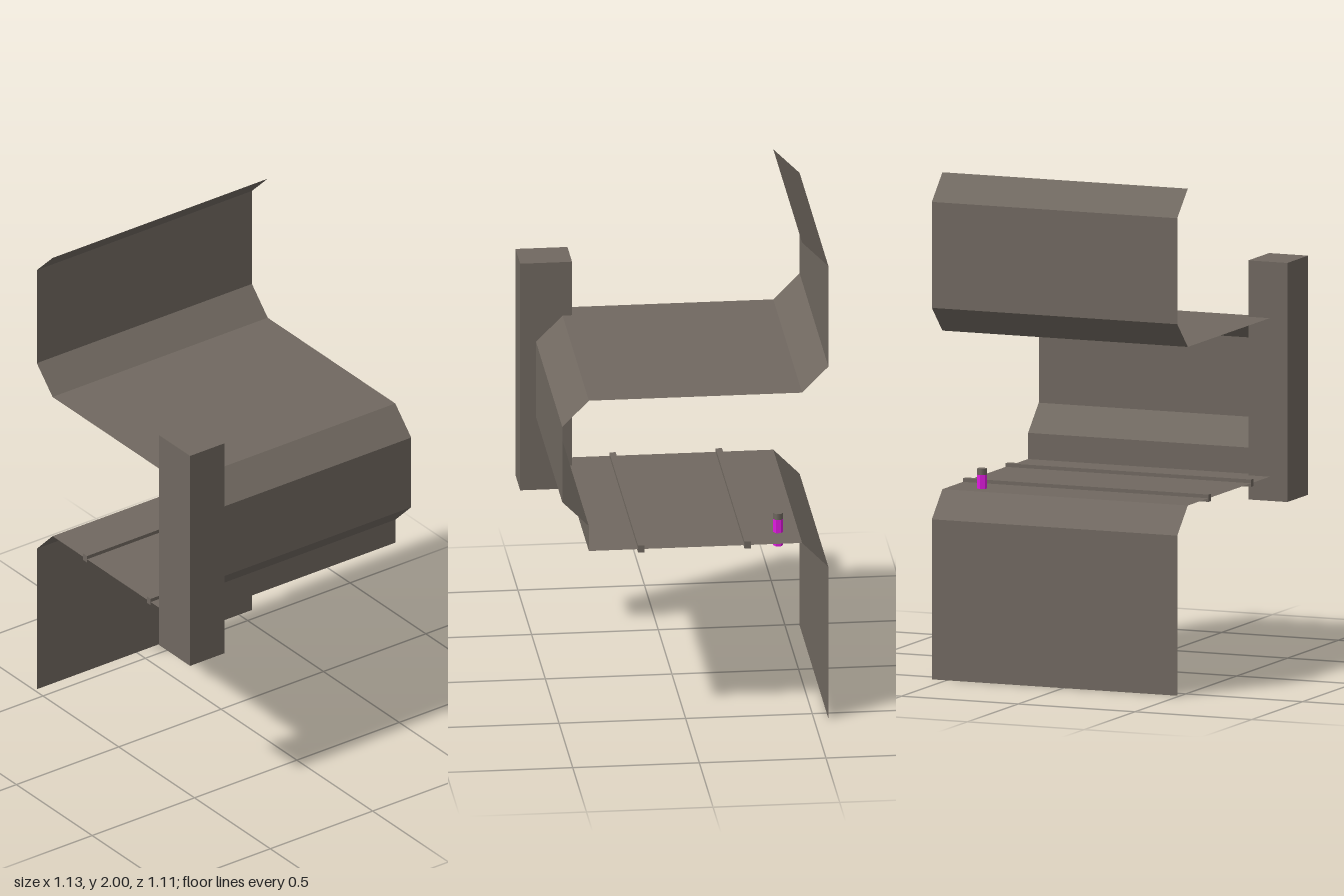
import * as THREE from 'three';

const LEFT = 0.563, RIGHT = -0.488;

export function createModel() {
  const model = new THREE.Group();
  const grey = new THREE.MeshStandardMaterial({ color: 0x706860, side: THREE.DoubleSide });
  grey.name = 'warm grey';
  const magenta = new THREE.MeshStandardMaterial({ color: 0xe01ae0, flatShading: true });
  magenta.name = 'magenta';

  const add = (name, geometry, material, x, y, z) => {
    const mesh = new THREE.Mesh(geometry, material);
    mesh.name = name;
    mesh.position.set(x, y, z);
    model.add(mesh);
  };

  // Folded sheet: a [z, y] profile swept straight across x, with hard folds
  const profile = [
    [-0.453, 2], [-0.557, 1.897], // top lip, leaning forward
    [-0.557, 1.476], [-0.453, 1.371], // upper back wall and bevel
    [0.389, 1.371], [0.494, 1.265], // upper deck and bevel
    [0.494, 0.95], [0.389, 0.845], // front wall and lower bevel
    [0.389, 0.741], [-0.453, 0.741], // step and floor
    [-0.557, 0.636], [-0.557, 0], // rear bevel and lower back wall
  ];
  const positions = [];
  for (let i = 0; i < profile.length - 1; i++) {
    const [z0, y0] = profile[i], [z1, y1] = profile[i + 1];
    positions.push(RIGHT, y0, z0, RIGHT, y1, z1, LEFT, y1, z1);
    positions.push(RIGHT, y0, z0, LEFT, y1, z1, LEFT, y0, z0);
  }
  const sheet = new THREE.BufferGeometry();
  sheet.setAttribute('position', new THREE.Float32BufferAttribute(positions, 3));
  sheet.computeVertexNormals();
  add('foldedSheet', sheet, grey, 0, 0, 0);

  // Square post at the right front corner
  add('cornerPost', new THREE.BoxGeometry(0.167, 0.95, 0.205), grey, -0.48, 1.12, 0.454);

  // Two slim rails let into the floor
  for (const z of [0.182, -0.238]) {
    add('floorRail', new THREE.BoxGeometry(LEFT - RIGHT, 0.029, 0.025), grey, (LEFT + RIGHT) / 2, 0.741, z);
  }

  // Small peg through the floor with a grey cap
  add('peg', new THREE.CylinderGeometry(0.02, 0.02, 0.11, 6), magenta, 0.428, 0.741, -0.373);
  add('pegCap', new THREE.CylinderGeometry(0.02, 0.02, 0.025, 6), grey, 0.428, 0.8085, -0.373);

  return model;
}
